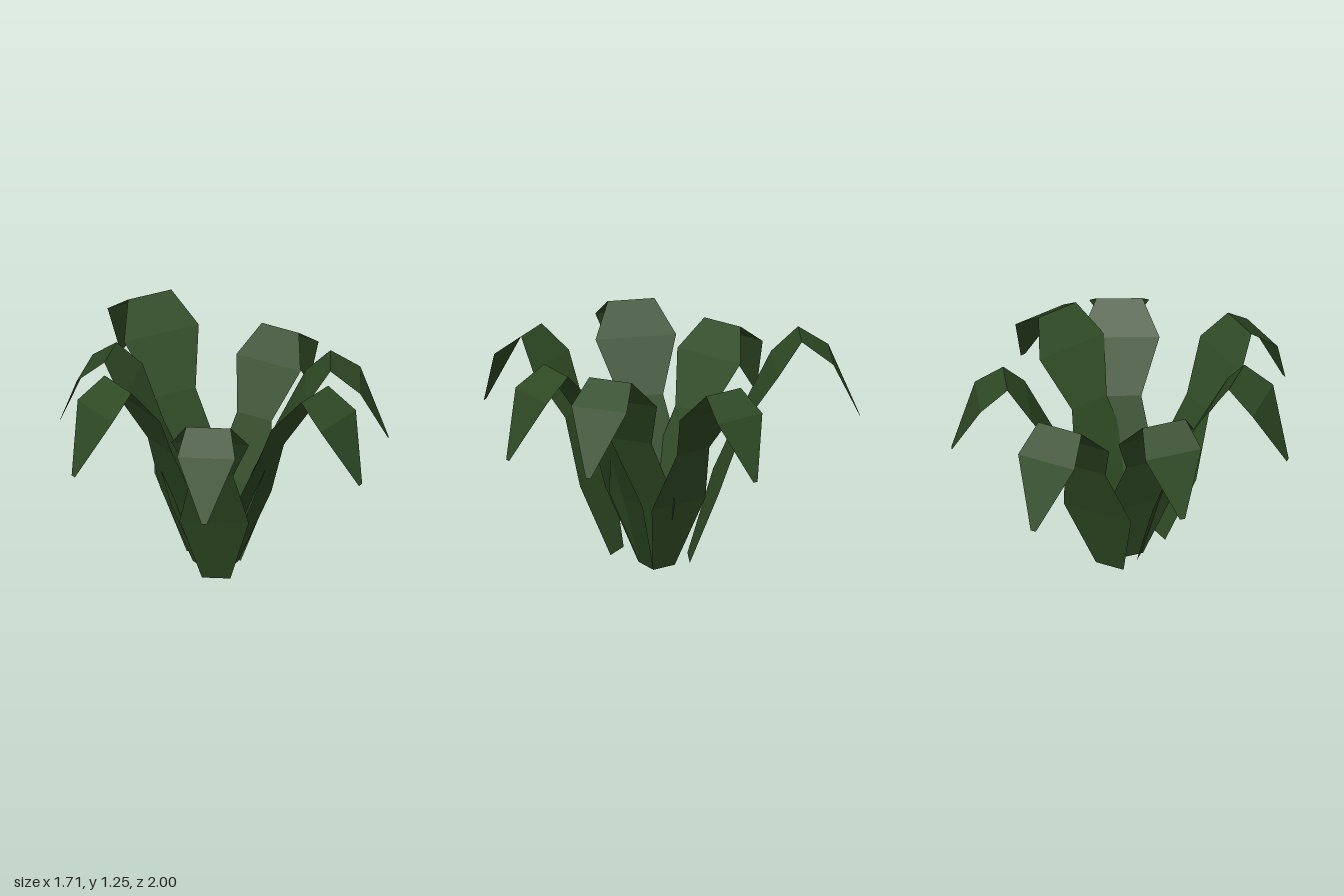
import * as THREE from 'three';

// Leaf cross-sections from root to tip: [distance along, height, half width]
const SECTIONS = [
  [0, 0, 0.075],
  [0.16, 0.345, 0.183],
  [0.32, 0.64, 0.11],
  [0.5, 0.865, 0.204],
  [0.65, 1, 0.118],
  [0.83, 0.905, 0.153],
  [1, 0.625, 0.014],
];

// Each leaf: root [x, y, z], tip [x, z], height of its fold, width scale
const LEAVES = [
  { root: [-0.11, 0.02, -0.15], tip: [-0.43, -0.995], top: 1.25, width: 1.08 },
  { root: [0.03, 0.005, -0.055], tip: [0.52, -0.7], top: 1.13, width: 0.96 },
  { root: [-0.01, 0.01, 0.02], tip: [0.853, 0.12], top: 1.21, width: 1.03 },
  { root: [0.02, 0, 0.045], tip: [0.65, 0.62], top: 1.19, width: 1.03 },
  { root: [-0.07, 0.035, 0.23], tip: [-0.22, 0.997], top: 1.185, width: 1 },
  { root: [-0.13, 0.02, 0.06], tip: [-0.85, 0.44], top: 1.25, width: 1.06 },
  { root: [-0.11, 0.02, -0.01], tip: [-0.835, -0.3], top: 1.18, width: 1.03 },
];

// Folded strip that rises from the root, arches over and hangs to a point
function leafGeometry({ root, tip, top, width }) {
  const [x, y, z] = root;
  const dx = tip[0] - x, dz = tip[1] - z;
  const length = Math.hypot(dx, dz);
  const sideX = dz / length, sideZ = -dx / length;
  const positions = [], index = [];
  SECTIONS.forEach(([along, height, half], i) => {
    for (const side of [-1, 1]) {
      const w = side * half * width;
      positions.push(x + dx * along + sideX * w, y + (top - y) * height, z + dz * along + sideZ * w);
    }
    if (i > 0) {
      const a = 2 * (i - 1);
      index.push(a, a + 1, a + 3, a, a + 3, a + 2);
    }
  });
  const geometry = new THREE.BufferGeometry();
  geometry.setAttribute('position', new THREE.Float32BufferAttribute(positions, 3));
  geometry.setIndex(index);
  const flat = geometry.toNonIndexed();
  flat.computeVertexNormals();
  return flat;
}

export function createModel() {
  const group = new THREE.Group();
  group.name = 'leafyPlant';
  const leafGreen = new THREE.MeshStandardMaterial({ color: 0x2f4a24, side: THREE.DoubleSide, flatShading: true });
  leafGreen.name = 'leafGreen';
  LEAVES.forEach((leaf, i) => {
    const mesh = new THREE.Mesh(leafGeometry(leaf), leafGreen);
    mesh.name = `leaf${i + 1}`;
    group.add(mesh);
  });
  return group;
}
